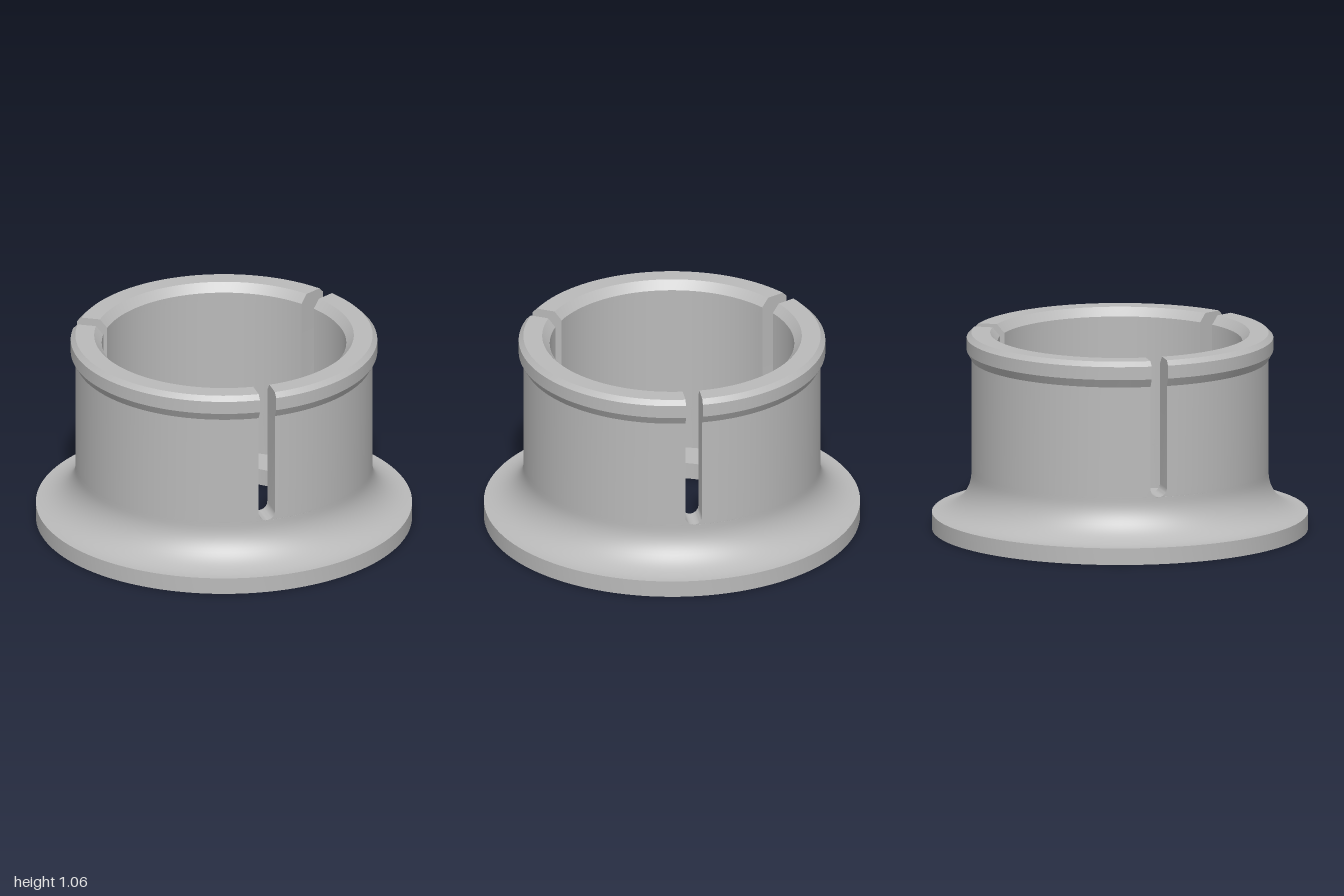
import * as THREE from 'three';
import { toCreasedNormals } from 'three/addons/utils/BufferGeometryUtils.js';

const HALF_SLOT = 0.045; // half width of each slot, also its bottom radius
const SLOT_Y = 0.365; // centre height of the rounded slot bottom
const STEPS = 40; // divisions around one third of the ring

// Rows of one wall segment: height, outer radius, inner radius, half slot width
function wallRows() {
  const rows = [];
  for (let i = 0; i <= 8; i++) {
    const a = (i / 8) * Math.PI / 2;
    rows.push([SLOT_Y - HALF_SLOT * Math.cos(a), 0.79, 0.65, HALF_SLOT * Math.sin(a)]);
  }
  // lip with chamfers inside and out
  for (const [y, ro, ri] of [
    [0.92, 0.79, 0.65], [0.965, 0.815, 0.65], [1.015, 0.815, 0.65],
    [1.035, 0.815, 0.668], [1.06, 0.79, 0.69],
  ]) rows.push([y, ro, ri, HALF_SLOT]);
  return rows;
}

// One third of the wall, with parallel-sided slot faces at both ends
function wallSegment(start) {
  const rows = wallRows();
  const n = rows.length;
  const section = [
    ...rows.map(([y, ro, , w]) => [ro, y, w]),
    ...rows.map(([y, , ri, w]) => [ri, y, w]).reverse(),
  ];
  const span = Math.PI * 2 / 3;
  const pos = [];
  const index = [];
  for (const [r, y, w] of section) {
    const inset = Math.asin(w / r);
    for (let j = 0; j <= STEPS; j++) {
      const a = start + inset + (span - 2 * inset) * j / STEPS;
      pos.push(r * Math.sin(a), y, r * Math.cos(a));
    }
  }
  const id = (k, j) => k * (STEPS + 1) + j;
  const quad = (a, b, c, d) => index.push(a, b, c, a, c, d);
  // outside, rim and inside
  for (let k = 0; k < section.length - 1; k++)
    for (let j = 0; j < STEPS; j++)
      quad(id(k, j), id(k, j + 1), id(k + 1, j + 1), id(k + 1, j));
  // slot faces
  for (let k = 0; k < n - 1; k++) {
    const inner = 2 * n - 1 - k;
    quad(id(inner, 0), id(k, 0), id(k + 1, 0), id(inner - 1, 0));
    quad(id(k, STEPS), id(inner, STEPS), id(inner - 1, STEPS), id(k + 1, STEPS));
  }
  const g = new THREE.BufferGeometry();
  g.setAttribute('position', new THREE.Float32BufferAttribute(pos, 3));
  g.setIndex(index);
  return toCreasedNormals(g, 0.4);
}

// Flange with a centre hole and a concave fillet rising into the wall
function flangeGeometry() {
  const pts = [[0.65, 0.32], [0.65, 0.09], [0.46, 0.09], [0.46, 0], [1, 0]];
  for (let i = 0; i <= 16; i++) {
    const a = (i / 16) * Math.PI / 2;
    pts.push([1 - 0.21 * Math.sin(a), 0.3 - 0.21 * Math.cos(a)]);
  }
  pts.push([0.79, 0.32]);
  const profile = pts.map(([x, y]) => new THREE.Vector2(x, y));
  return toCreasedNormals(new THREE.LatheGeometry(profile, STEPS * 3), 0.4);
}

export function createModel() {
  const group = new THREE.Group();
  group.name = 'slottedBushing';
  const grey = new THREE.MeshStandardMaterial({ color: 0xbababa });
  grey.name = 'grey';

  const flange = new THREE.Mesh(flangeGeometry(), grey);
  flange.name = 'flange';
  group.add(flange);

  // three wall segments, separated by slots at the back and both front sides
  for (let i = 0; i < 3; i++) {
    const wall = new THREE.Mesh(wallSegment(-Math.PI / 3 + i * Math.PI * 2 / 3), grey);
    wall.name = `wallSegment${i + 1}`;
    group.add(wall);
  }
  return group;
}
